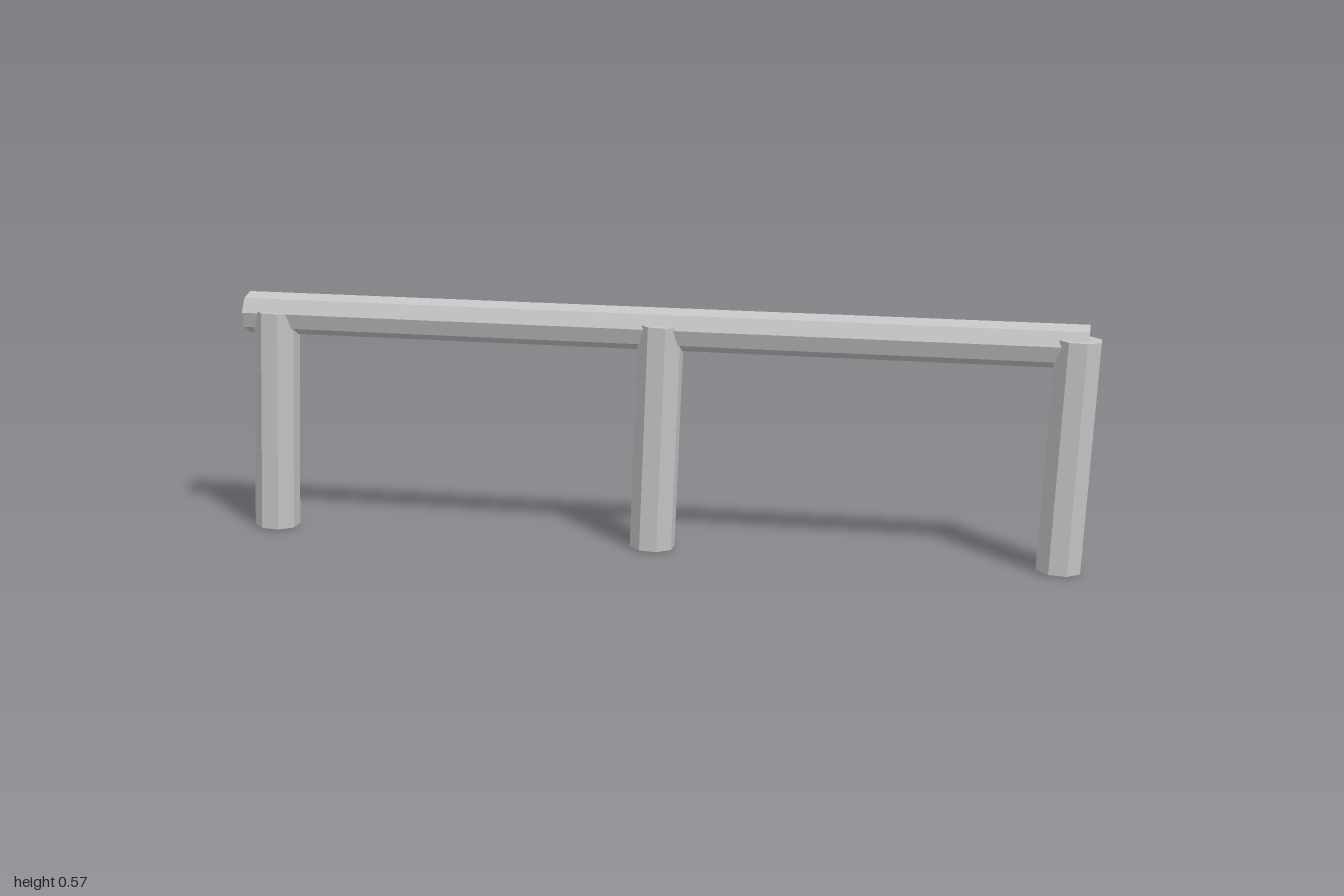
import * as THREE from 'three';

const wood = new THREE.MeshStandardMaterial({ color: 0xc4c4c4 });
wood.name = 'plainGrey';

// Eight-sided log between two points; roll turns the facets about its axis
function log(name, from, to, radius, roll) {
  const a = new THREE.Vector3(...from);
  const b = new THREE.Vector3(...to);
  const dir = b.clone().sub(a);
  const geometry = new THREE.CylinderGeometry(radius, radius, dir.length(), 8).toNonIndexed();
  geometry.rotateY(roll);
  geometry.computeVertexNormals();
  const mesh = new THREE.Mesh(geometry, wood);
  mesh.name = name;
  mesh.quaternion.setFromUnitVectors(new THREE.Vector3(0, 1, 0), dir.normalize());
  mesh.position.copy(a).add(b).multiplyScalar(0.5);
  return mesh;
}

export function createModel() {
  const fence = new THREE.Group();
  fence.name = 'railFence';

  // Three posts, all leaning slightly to the side and to the front
  ['rightPost', 'middlePost', 'leftPost'].forEach((name, i) => {
    const x = (i - 1) * 0.9375 - 0.0115;
    fence.add(log(name, [x, 0.003, -0.005], [x + 0.024, 0.532, 0.005], 0.0535, Math.PI / 8));
  });

  // Long rail resting in the posts, dropping a little towards one end
  fence.add(log('rail', [-1, 0.5245, -0.009], [0.973, 0.5135, -0.009], 0.049, -0.09));

  return fence;
}
